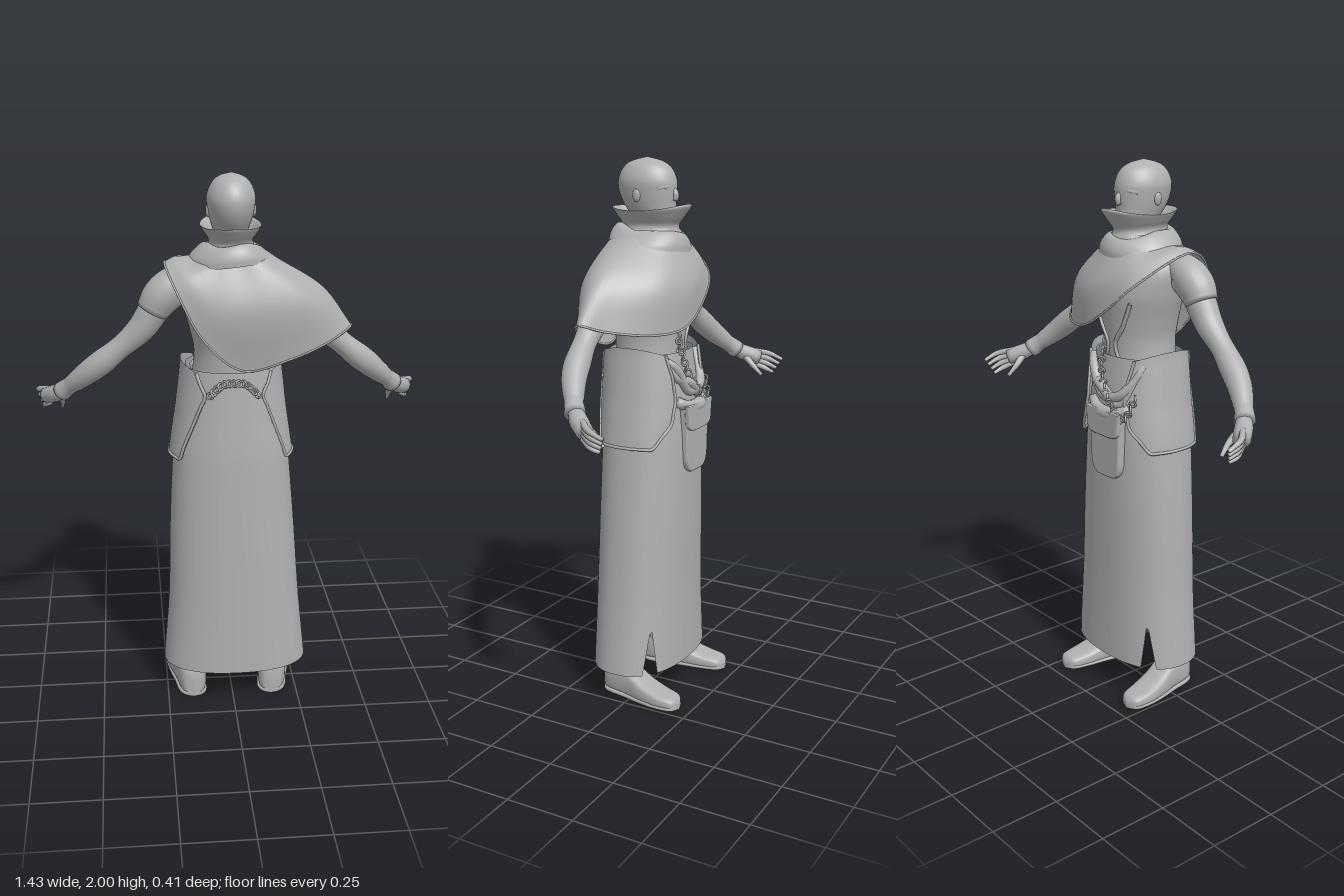
import * as THREE from 'three';
import { mergeVertices } from 'three/addons/utils/BufferGeometryUtils.js';
import { ParametricGeometry } from 'three/addons/geometries/ParametricGeometry.js';

const V = (x, y, z) => new THREE.Vector3(x, y, z);
const lerp = THREE.MathUtils.lerp;

// Smooth grid surface from a function of u and v, welded along its seam
function surface(f, nu, nv) {
  const g = new ParametricGeometry(f, nu, nv);
  g.deleteAttribute('uv');
  g.deleteAttribute('normal');
  const m = mergeVertices(g, 1e-5);
  m.computeVertexNormals();
  return m;
}

// Interpolates a table of rows at t in 0..1
function sampler(rows, linear = false) {
  const Kind = linear ? THREE.LinearInterpolant : THREE.CubicInterpolant;
  const it = new Kind(rows.map((r, i) => i / (rows.length - 1)), rows.flat(), rows[0].length);
  return t => Array.from(it.evaluate(t));
}

// Upright shell through oval rings [y, cx, cz, rx, rz]; lift shifts y by angle
function loft(rows, nu = 48, nv = 40, lift = () => 0) {
  const s = sampler(rows);
  return surface((u, v, p) => {
    const [y, cx, cz, rx, rz] = s(v), a = u * Math.PI * 2;
    p.set(cx + rx * Math.sin(a), y + lift(a, v), cz + rz * Math.cos(a));
  }, nu, nv);
}

// Round limb of changing radius along a curve, closed at both ends
function limb(pts, radii, nu = 14, nv = 24) {
  const c = new THREE.CatmullRomCurve3(pts), fr = c.computeFrenetFrames(nv), r = sampler(radii.map(x => [x]));
  return surface((u, v, p) => {
    const i = Math.round(v * nv), a = u * Math.PI * 2;
    const k = i === 0 || i === nv ? 0 : r(v)[0];
    c.getPointAt(i < 2 ? 0 : i > nv - 2 ? 1 : v, p);
    p.addScaledVector(fr.normals[i], Math.cos(a) * k).addScaledVector(fr.binormals[i], Math.sin(a) * k);
  }, nu, nv);
}

export function createModel() {
  const model = new THREE.Group();
  const grey = new THREE.MeshStandardMaterial({ color: 0xb0b0b0, side: THREE.DoubleSide });
  grey.name = 'plain grey';
  const add = (name, geometry, parent = model) => {
    const m = new THREE.Mesh(geometry, grey);
    m.name = name;
    parent.add(m);
    return m;
  };
  const tube = (pts, r) => new THREE.TubeGeometry(new THREE.CatmullRomCurve3(pts), pts.length * 6, r, 6);

  // Head and neck, facing -z
  add('head', loft([
    [1.70, 0, .04, .055, .06], [1.77, 0, .035, .056, .065], [1.80, 0, .015, .062, .085], [1.84, 0, .026, .074, .1],
    [1.88, 0, .033, .082, .11], [1.92, 0, .035, .085, .11], [1.96, 0, .035, .07, .092], [1.985, 0, .036, .045, .058],
    [2, 0, .036, 0, 0]], 40, 40));
  add('nose', limb([V(0, 1.895, -.066), V(0, 1.87, -.078), V(0, 1.852, -.074)], [.008, .012, .011], 10, 10));
  for (const s of [-1, 1]) {
    add('brow', limb([V(s * .008, 1.896, -.066), V(s * .035, 1.9, -.058), V(s * .058, 1.893, -.036)], [.007, .01, .008], 8, 10));
    const ear = add('ear', new THREE.SphereGeometry(.022, 12, 10));
    ear.scale.set(.4, 1.1, .7);
    ear.position.set(s * .08, 1.87, .035);
  }

  // Standing collar rolled over at its rim, above a loose cowl
  add('collar', loft([
    [1.735, 0, .024, .09, .115], [1.765, 0, .022, .078, .108], [1.795, 0, .02, .094, .13],
    [1.822, 0, .018, .108, .15], [1.822, 0, .018, .099, .139], [1.79, 0, .02, .08, .11], [1.76, 0, .02, .07, .095]], 48, 36,
  (a, v) => v > .25 ? (v - .25) * .02 * (Math.cos(2 * a) - Math.cos(a)) : 0));
  add('cowl', loft([
    [1.685, 0, .024, .155, .148], [1.71, 0, .024, .145, .147], [1.735, 0, .024, .122, .138], [1.752, 0, .024, .1, .122],
    [1.752, 0, .024, .08, .1]], 48, 16, a => .012 * Math.cos(a) + .006 * Math.sin(3 * a)));

  // Tunic body
  add('tunic', loft([
    [1.22, 0, .02, .15, .125], [1.36, 0, .02, .133, .13], [1.45, 0, .02, .148, .14], [1.55, 0, .02, .175, .15],
    [1.64, 0, .025, .18, .13], [1.70, 0, .035, .12, .095], [1.75, 0, .035, .07, .075]]));
  for (const s of [-1, 1])
    add('tunicEdge', tube([V(s * .1, 1.52, -.106), V(s * .06, 1.43, -.108), V(s * .02, 1.36, -.109), V(s * .06, 1.26, -.097)], .008));

  // Asymmetric shoulder cape: rings run from back, round +x, the chest and -x
  const rings = [
    [[.02, 1.70, .15], [.09, 1.70, .15], [.13, 1.705, .12], [.16, 1.705, .05], [.13, 1.705, -.03], [.09, 1.69, -.09],
      [.02, 1.68, -.12], [-.04, 1.69, -.11], [-.1, 1.7, -.08], [-.14, 1.715, .04], [-.11, 1.7, .13], [-.04, 1.7, .15]],
    [[.03, 1.55, .2], [.15, 1.56, .19], [.26, 1.58, .15], [.325, 1.6, .055], [.28, 1.58, -.03], [.18, 1.57, -.13],
      [.06, 1.56, -.168], [-.03, 1.6, -.158], [-.13, 1.65, -.11], [-.2, 1.715, .05], [-.16, 1.66, .16], [-.07, 1.57, .195]],
    [[.03, 1.33, .168], [.2, 1.365, .16], [.35, 1.42, .12], [.43, 1.46, .06], [.37, 1.435, 0], [.23, 1.41, -.12],
      [.09, 1.42, -.165], [-.05, 1.5, -.168], [-.15, 1.59, -.135], [-.235, 1.7, .06], [-.2, 1.62, .165], [-.11, 1.45, .185]],
  ];
  rings.unshift(rings[0].map((p, i) => [.09 * Math.sin(i * Math.PI / 6), 1.75, .022 + .11 * Math.cos(i * Math.PI / 6)]));
  const loops = rings.map(r => new THREE.CatmullRomCurve3(r.map(p => V(...p)), true));
  add('cape', surface((u, v, p) => {
    const column = new THREE.CatmullRomCurve3(loops.map(l => l.getPoint(u % 1)));
    column.getPoint(1 - v, p);
  }, 72, 24));
  add('capeHem', new THREE.TubeGeometry(loops[3], 120, .004, 6, true));

  // Long skirt with a triangular slit on each side of the front panel
  const skirt = [
    [.13, .015, .02, .275, .17], [.4, .012, .02, .25, .166], [.7, .005, .017, .234, .165],
    [1, 0, .015, .213, .162], [1.15, 0, .015, .188, .153], [1.33, 0, .02, .163, .138]];
  const skirtAt = sampler(skirt);
  const oval = (x, k = .86) => Math.sign(x) * Math.abs(x) ** k;
  const skirtPoint = (a, y, off, p = V()) => {
    let i = 0;
    while (i < skirt.length - 2 && y > skirt[i + 1][0]) i++;
    const t = (i + (y - skirt[i][0]) / (skirt[i + 1][0] - skirt[i][0])) / (skirt.length - 1);
    const [, cx, cz, rx, rz] = skirtAt(Math.min(Math.max(t, 0), 1));
    return p.set(cx + (rx + off) * oval(Math.sin(a)), y, cz + (rz + off) * oval(Math.cos(a)));
  };
  add('skirt', surface((u, v, p) => {
    const a = u * Math.PI * 2;
    const d = Math.abs(Math.abs(a - Math.PI) - Math.PI * .27);
    const hem = .13 + .19 * Math.max(0, 1 - d / .15);
    skirtPoint(a, lerp(hem, 1.32, v), 0, p);
  }, 144, 44));

  // Hip flaps, pointed below and peaked at the hip
  const flapBack = sampler([[.98], [.82], [.66], [.5], [.75]], true);
  const flapFront = sampler([[2.15], [2.55], [2.65], [2.6], [2.45]], true);
  for (const s of [-1, 1]) {
    const flap = (u, v, p) => {
      const a = s > 0 ? lerp(flapBack(v)[0], flapFront(v)[0], u) : -lerp(flapFront(v)[0], flapBack(v)[0], u);
      return skirtPoint(a, lerp(.99, 1.32, v) + .025 * v * Math.sin(u * Math.PI), .014 + .006 * v, p);
    };
    add('hipFlap', surface(flap, 28, 20));
    const edge = [];
    for (let i = 0; i < 8; i++) edge.push(flap(0, 1 - i / 8, V()));
    for (let i = 0; i < 8; i++) edge.push(flap(i / 8, 0, V()));
    for (let i = 0; i <= 8; i++) edge.push(flap(1, 1 - (8 - i) / 8, V()));
    add('hipFlapTrim', tube(edge, .006));
  }

  // Chains: one arched across the back, one hanging at the front
  const chain = (name, pts, n) => {
    const g = new THREE.Group(), c = new THREE.CatmullRomCurve3(pts);
    g.name = name;
    for (let i = 0; i <= n; i++) {
      const link = add('chainLink', new THREE.TorusGeometry(.011, .004, 6, 12), g);
      link.position.copy(c.getPointAt(i / n));
      link.lookAt(link.position.clone().add(V(i % 2 ? .7 : -.7, i % 2 ? .5 : 0, 1)));
    }
    model.add(g);
  };
  chain('backChain', [V(-.085, 1.24, .165), V(-.04, 1.28, .168), V(0, 1.285, .17), V(.04, 1.28, .168), V(.085, 1.24, .165)], 12);
  chain('frontChain', [V(.04, 1.36, -.115), V(.02, 1.25, -.14), V(-.06, 1.15, -.16), V(-.12, 1.11, -.155), V(-.15, 1.19, -.125)], 20);

  // Twisted belt lying on the front of the skirt
  for (const k of [-1, 1])
    add('beltStrand', limb([[2.45, 1.3, 0], [2.75, 1.25, .015], [3.1, 1.19, -.015], [3.5, 1.17, .018], [3.85, 1.25, 0], [4.05, 1.3, 0]]
      .map(([a, y, d]) => skirtPoint(a, y + k * d, .008 + k * d * .3)), [.014, .018, .018, .018, .014]));

  // Front pouch with a padded flap
  const pouch = new THREE.Shape();
  pouch.moveTo(-.08, .13);
  pouch.lineTo(-.072, -.05);
  pouch.quadraticCurveTo(-.068, -.1, -.03, -.1);
  pouch.lineTo(.03, -.1);
  pouch.quadraticCurveTo(.068, -.1, .072, -.05);
  pouch.lineTo(.08, .13);
  const puffy = { depth: .016, bevelThickness: .009, bevelSize: .008, bevelSegments: 4, curveSegments: 8 };
  add('pouch', new THREE.ExtrudeGeometry(pouch, puffy)).position.set(-.02, .98, -.155);
  const pouchFlap = add('pouchFlap', new THREE.ExtrudeGeometry(pouch, puffy));
  pouchFlap.scale.set(1.08, .4, .6);
  pouchFlap.position.set(-.02, 1.075, -.17);
  add('pouchRoll', limb([V(-.12, 1.145, -.125), V(-.07, 1.12, -.15), V(.03, 1.12, -.15), V(.08, 1.145, -.13)], [.018, .024, .024, .018]));

  // Arms, hands, legs and shoes, mirrored
  for (const s of [-1, 1]) {
    const P = (x, y, z) => V(s * x, y, z);
    add('arm', limb([P(.19, 1.61, .065), P(.26, 1.55, .068), P(.32, 1.465, .065), P(.42, 1.375, .055), P(.51, 1.3, .03), P(.605, 1.215, -.03)],
      [.058, .056, .05, .041, .046, .04, .027], 20, 36));
    add('cuff', limb([P(.565, 1.25, -.003), P(.59, 1.23, -.02), P(.613, 1.207, -.038)], [.032, .033, .038], 16, 10));
    add('palm', limb([P(.6, 1.218, -.03), P(.635, 1.193, -.065), P(.672, 1.172, -.11)], [.025, .032, .03], 14, 14));
    for (let i = 0; i < 4; i++)
      add('finger', limb([P(.662, 1.2 - i * .017, -.095), P(.703 - i * .006, 1.186 - i * .021, -.145), P(.708 - i * .009, 1.165 - i * .017, -.2 + i * .009)],
        [.012, .011, .006], 8, 10));
    add('thumb', limb([P(.625, 1.19, -.065), P(.615, 1.15, -.11), P(.62, 1.112, -.148)], [.016, .012, .006], 8, 10));

    add('leg', new THREE.CylinderGeometry(.07, .052, .5, 20)).position.set(s * .152, .34, .06);
    // Shoe sections [z, cx, halfWidth, height]
    const shoe = sampler([[.133, .15, 0, .06], [.125, .152, .035, .115], [.09, .155, .053, .13], [.02, .165, .055, .122],
      [-.05, .18, .056, .085], [-.12, .19, .055, .06], [-.18, .195, .045, .048], [-.198, .195, .025, .035], [-.205, .195, 0, .02]]);
    const shell = (grow, height) => surface((u, v, p) => {
      const [z, cx, w, h] = shoe(v), a = -u * Math.PI * 2;
      p.set(s * cx + Math.max(0, w) * grow * oval(Math.sin(a), .7), (height || h) * (.5 + .5 * oval(Math.cos(a), .6)), z);
    }, 24, 28);
    add('shoe', shell(1));
    add('sole', shell(1.05, .022));
  }
  // Fitted sleeve on the uncovered shoulder
  add('sleeve', limb([V(-.14, 1.65, .06), V(-.2, 1.625, .066), V(-.25, 1.58, .07), V(-.28, 1.53, .069)], [.045, .062, .066, .057], 20, 24));

  return model;
}
